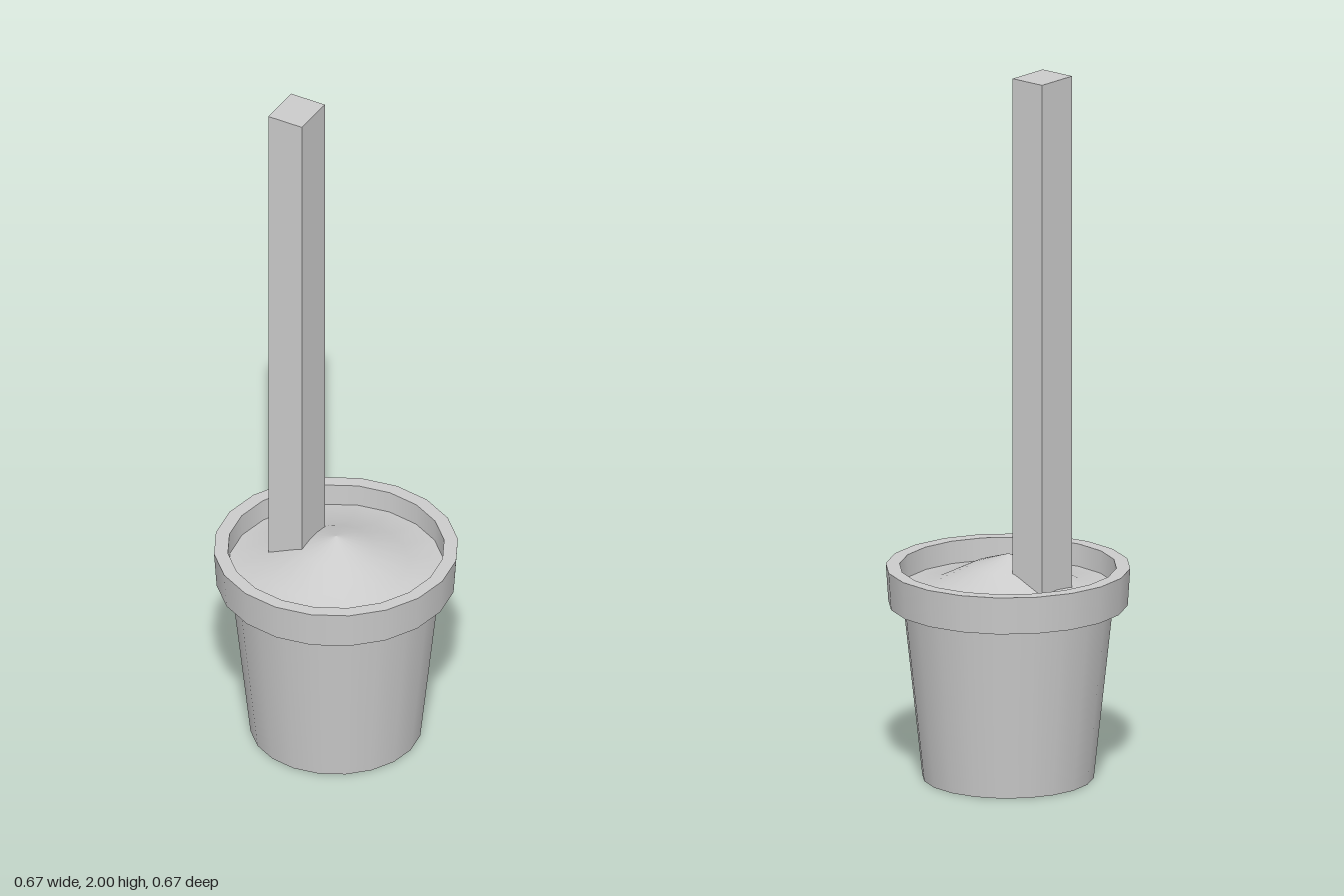
import * as THREE from 'three';
import { mergeGeometries } from 'three/addons/utils/BufferGeometryUtils.js';

const SIDES = 20;
const grey = new THREE.MeshStandardMaterial({ color: 0xcccccc });

const turn = (profile) =>
  new THREE.LatheGeometry(profile.map(([r, y]) => new THREE.Vector2(r, y)), SIDES);

// Turns each stretch of the profile on its own, so the corners stay sharp
function turnSharp(profile) {
  return mergeGeometries(profile.slice(1).map((p, i) => turn([profile[i], p])));
}

export function createModel() {
  const model = new THREE.Group();
  const add = (name, geometry) => {
    const mesh = new THREE.Mesh(geometry, grey);
    mesh.name = name;
    model.add(mesh);
    return mesh;
  };

  // Tapered pot with a closed base
  add('potBody', turnSharp([[0, 0], [0.235, 0], [0.288, 0.49]]));

  // Overhanging rim: underside, outer band, top lip, inner wall
  add('potRim', turnSharp([[0.285, 0.49], [0.328, 0.49], [0.335, 0.595], [0.297, 0.595], [0.295, 0.525]]));

  // Smooth mound of soil
  add('soil', turn([[0.296, 0.532], [0.2, 0.547], [0.1, 0.597], [0, 0.63]]));

  // Square post planted off centre
  const post = add('post', new THREE.BoxGeometry(0.106, 1.5, 0.126));
  post.position.set(-0.124, 1.25, 0);

  return model;
}
